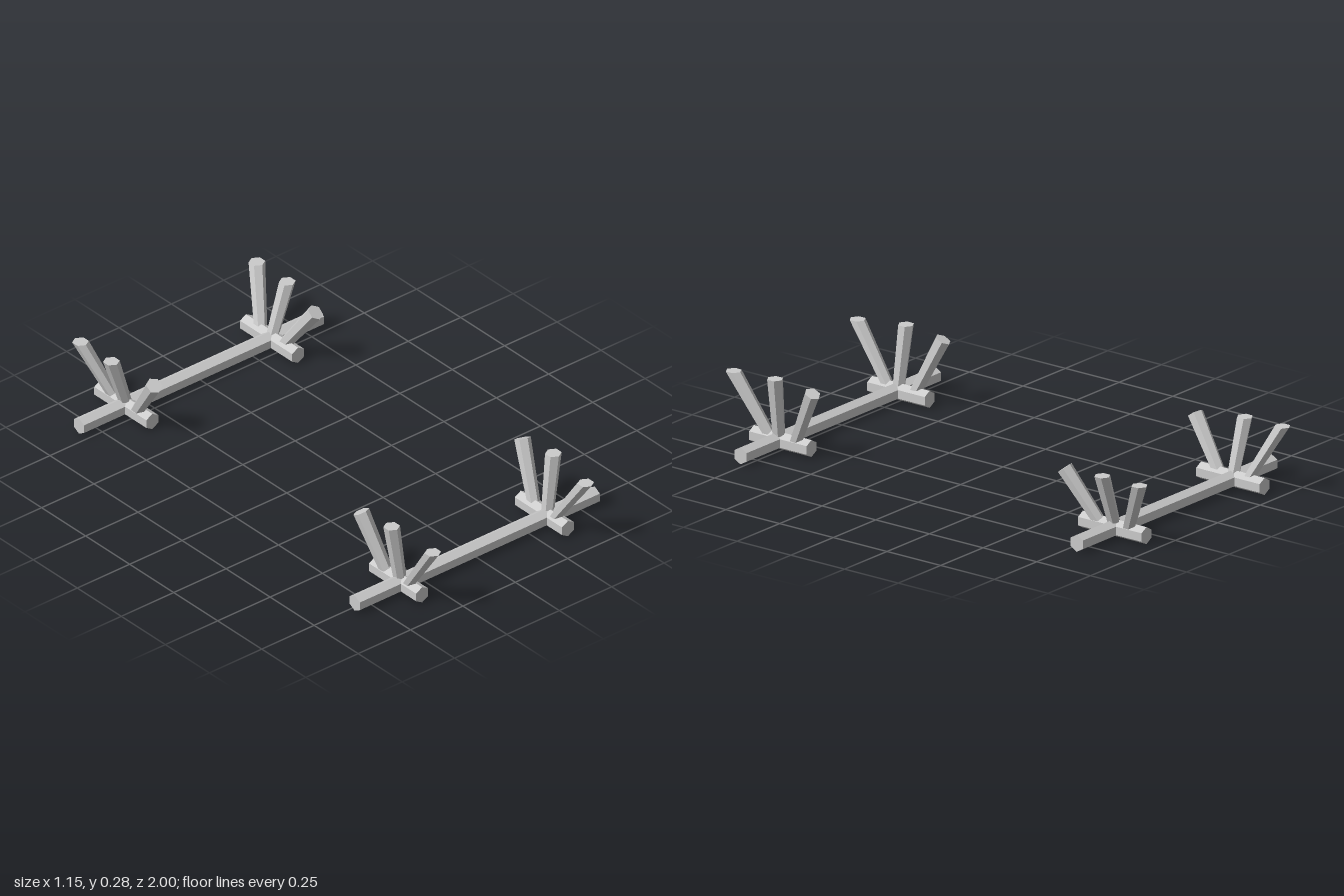
import * as THREE from 'three';

const material = new THREE.MeshStandardMaterial({ color: 0xcccccc, flatShading: true });
const BAR_R = 0.033;

function addMesh(parent, name, geometry) {
  const mesh = new THREE.Mesh(geometry, material);
  mesh.name = name;
  parent.add(mesh);
  return mesh;
}

// Hexagonal bar lying along x or z, with an edge pointing up
function addBar(parent, name, axis, length, x, z) {
  const geo = new THREE.CylinderGeometry(BAR_R, BAR_R, length, 6);
  if (axis === 'x') geo.rotateY(Math.PI / 6).rotateZ(Math.PI / 2);
  else geo.rotateX(Math.PI / 2);
  addMesh(parent, name, geo).position.set(x, BAR_R, z);
}

// Tapered hexagonal post; level ends are sheared, otherwise cut square to the axis
function addPost(parent, name, base, tip, level) {
  const a = new THREE.Vector3(...base);
  const b = new THREE.Vector3(...tip);
  const d = b.clone().sub(a);
  const height = level ? d.y : d.length();
  const geo = new THREE.CylinderGeometry(0.031, 0.024, height, 6);
  if (level) {
    const shear = new THREE.Matrix4().set(
      1, d.x / d.y, 0, 0,
      0, 1, 0, 0,
      0, d.z / d.y, 1, 0,
      0, 0, 0, 1);
    geo.applyMatrix4(shear);
  } else {
    geo.applyQuaternion(new THREE.Quaternion().setFromUnitVectors(
      new THREE.Vector3(0, 1, 0), d.normalize()));
  }
  addMesh(parent, name, geo).position.copy(a).add(b).multiplyScalar(0.5);
}

// Each rack: long bar, two cross bars, three posts per crossing (given for +x)
const racks = [
  {
    name: 'frontRack', z: 0.77, cross: [0.617, 0.885],
    posts: [
      ['frontPost', [0.348, 0.03, 0.80], [0.365, 0.264, 0.966], true],
      ['middlePost', [0.35, 0.03, 0.765], [0.386, 0.283, 0.757], true],
      ['backPost', [0.35, 0.03, 0.694], [0.385, 0.262, 0.583], false],
    ],
  },
  {
    name: 'backRack', z: -0.796, cross: [-0.943, -0.647],
    posts: [
      ['frontPost', [0.35, 0.03, -0.737], [0.385, 0.231, -0.592], false],
      ['middlePost', [0.345, 0.03, -0.796], [0.42, 0.252, -0.794], true],
      ['backPost', [0.347, 0.03, -0.857], [0.421, 0.252, -0.968], true],
    ],
  },
];

export function createModel() {
  const model = new THREE.Group();
  model.name = 'postRacks';
  for (const rack of racks) {
    const group = new THREE.Group();
    group.name = rack.name;
    model.add(group);
    addBar(group, 'longBar', 'x', 1.146, 0, rack.z);
    const [z0, z1] = rack.cross;
    for (const [side, s] of [['left', 1], ['right', -1]]) {
      addBar(group, side + 'CrossBar', 'z', z1 - z0, s * 0.348, (z0 + z1) / 2);
      for (const [name, [bx, by, bz], [tx, ty, tz], level] of rack.posts) {
        addPost(group, side + name[0].toUpperCase() + name.slice(1),
          [s * bx, by, bz], [s * tx, ty, tz], level);
      }
    }
  }
  return model;
}
